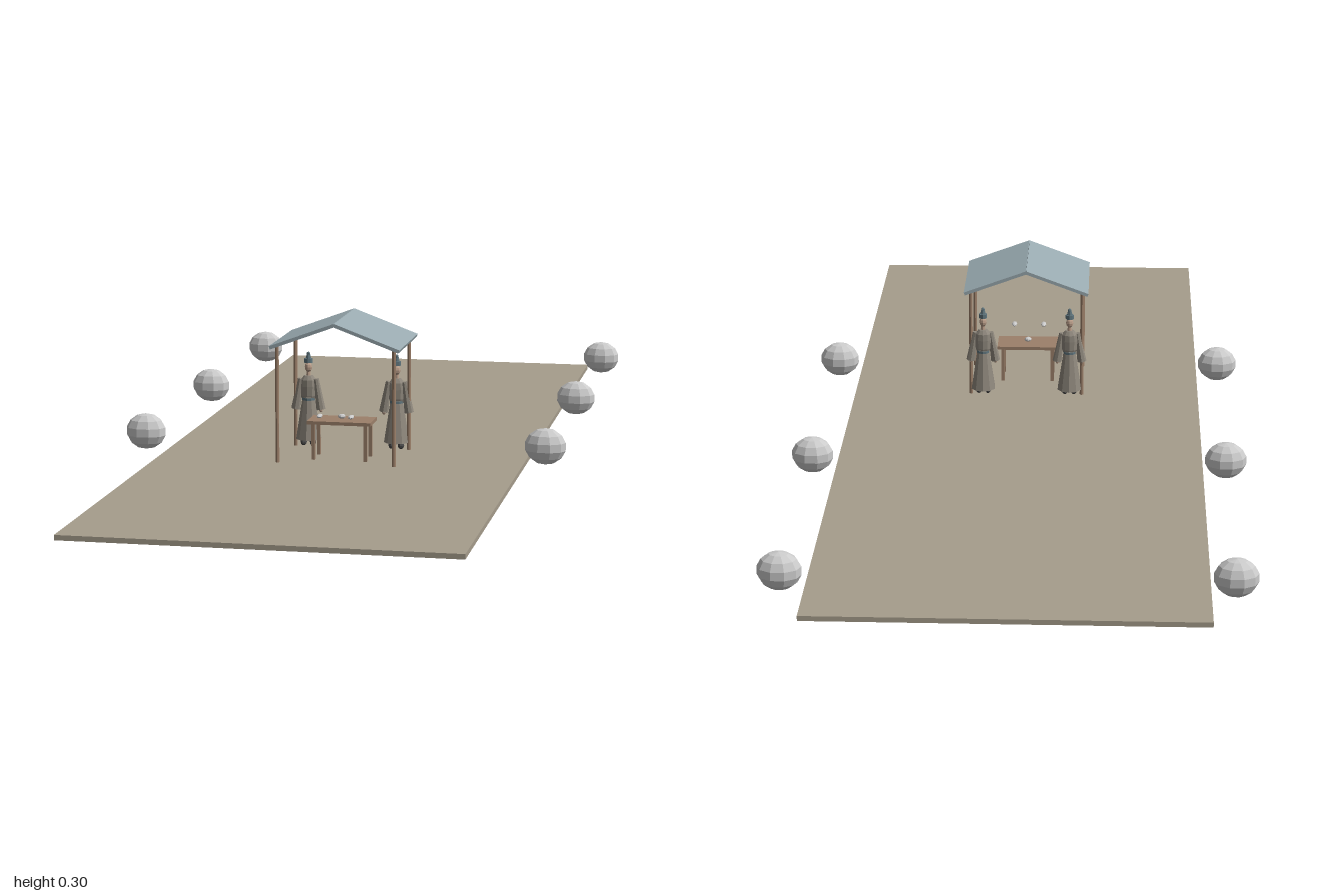
import * as THREE from 'three';

const mat = (color) => new THREE.MeshStandardMaterial({ color, flatShading: true });
const GREY = mat(0xcccccc), EARTH = mat(0xa69d8c), ROOF = mat(0x9aabb1), WOOD = mat(0x9c806a);
const ROBE = mat(0x8f887d), SKIN = mat(0xb89c88), HAT = mat(0x5f747c), SHOE = mat(0x4a4a4a);

function add(parent, name, geometry, material, x, y, z) {
  const mesh = new THREE.Mesh(geometry, material);
  mesh.name = name;
  mesh.position.set(x, y, z);
  parent.add(mesh);
  return mesh;
}
const box = (w, h, d) => new THREE.BoxGeometry(w, h, d);
const ball = (rx, ry, rz, w = 10, h = 7) => new THREE.SphereGeometry(1, w, h).scale(rx, ry, rz);
const rod = (top, bottom, h, n = 8) => new THREE.CylinderGeometry(top, bottom, h, n);

// Open gabled shelter on four posts
function createShelter() {
  const g = new THREE.Group();
  g.name = 'shelter';
  const slope = Math.atan2(0.05, 0.135);
  for (const s of [-1, 1]) {
    const panel = add(g, 'roofPanel', box(0.144, 0.007, 0.218), ROOF, s * 0.067, 0.2755, 0.204);
    panel.rotation.z = -s * slope;
    for (const z of [0.121, 0.297])
      add(g, 'post', rod(0.004, 0.004, 0.243), WOOD, s * 0.122, 0.1315, z);
  }
  return g;
}

// Table with small things on and above it
function createTable() {
  const g = new THREE.Group();
  g.name = 'table';
  add(g, 'tableTop', box(0.134, 0.007, 0.07), WOOD, 0, 0.0885, 0.23);
  for (const s of [-1, 1]) {
    for (const z of [0.202, 0.257])
      add(g, 'tableLeg', box(0.007, 0.076, 0.007), WOOD, s * 0.055, 0.048, z);
    add(g, 'smallOffering', ball(0.006, 0.004, 0.014, 8, 6), GREY, s * 0.033, 0.11, 0.297);
  }
  add(g, 'bowl', ball(0.008, 0.005, 0.008, 8, 6), GREY, 0, 0.098, 0.23);
  return g;
}

// Robed attendant with wide sleeves and a tall hat
function createAttendant() {
  const g = new THREE.Group();
  g.name = 'attendant';
  add(g, 'robeSkirt', rod(0.013, 0.027, 0.09, 10), ROBE, 0, 0.07, 0);
  const profile = [[0.012, 0.106], [0.017, 0.118], [0.018, 0.138], [0.017, 0.152], [0.01, 0.161], [0, 0.162]];
  const torso = new THREE.LatheGeometry(profile.map(([r, y]) => new THREE.Vector2(r, y)), 10);
  add(g, 'robeTorso', torso.scale(1, 1, 0.75), ROBE, 0, 0, 0);
  add(g, 'sash', rod(0.014, 0.014, 0.006, 10), HAT, 0, 0.111, 0);
  for (const s of [-1, 1]) {
    const sleeve = add(g, 'sleeve', rod(0.006, 0.01, 0.066), ROBE, s * 0.022, 0.122, 0.002);
    sleeve.rotation.z = s * 0.16;
    add(g, 'hand', ball(0.004, 0.005, 0.004, 6, 5), SKIN, s * 0.027, 0.088, 0.002);
    add(g, 'shoe', ball(0.007, 0.008, 0.011, 8, 6), SHOE, s * 0.01, 0.019, 0.004);
  }
  add(g, 'neck', rod(0.004, 0.005, 0.012), SKIN, 0, 0.165, 0);
  add(g, 'head', ball(0.008, 0.011, 0.009, 8, 6), SKIN, 0, 0.179, 0);
  add(g, 'hatBrim', rod(0.009, 0.009, 0.009), HAT, 0, 0.193, 0);
  add(g, 'hatCrown', rod(0.004, 0.006, 0.009), HAT, 0, 0.202, 0);
  add(g, 'hatKnob', ball(0.004, 0.004, 0.004, 6, 5), HAT, 0, 0.208, 0);
  return g;
}

export function createModel() {
  const model = new THREE.Group();
  model.name = 'roadsideShelter';
  add(model, 'ground', box(0.757, 0.01, 2), EARTH, 0, 0.005, 0);

  // Round stones along both edges
  for (const s of [-1, 1])
    for (const z of [-0.89, -0.335, 0.22])
      add(model, 'stone', ball(0.043, 0.038, 0.032), GREY, s * 0.423, 0.049, z);

  model.add(createShelter(), createTable());
  for (const s of [-1, 1]) {
    const attendant = createAttendant();
    attendant.position.set(s * 0.095, 0, 0.117);
    model.add(attendant);
  }
  return model;
}
